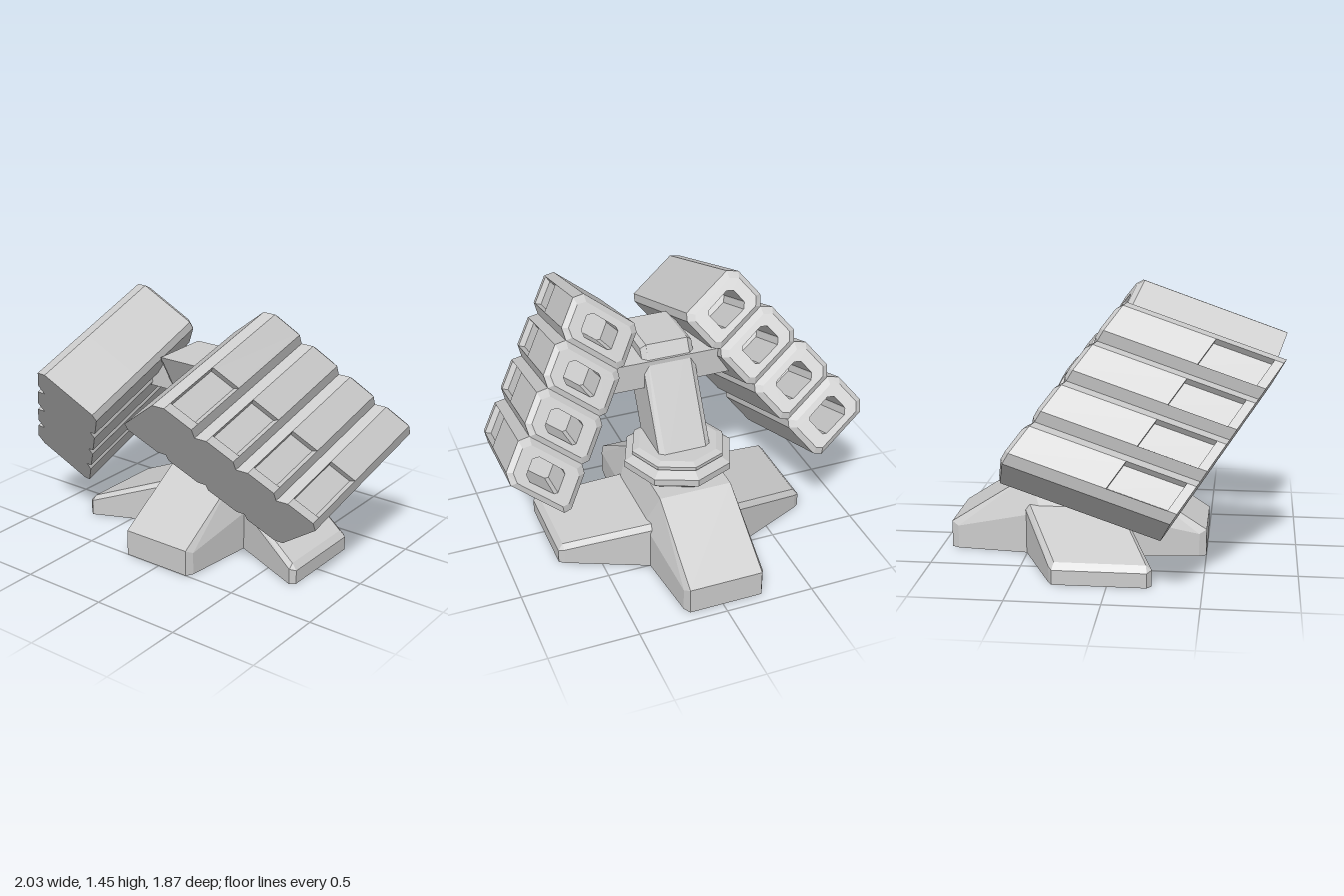
import * as THREE from 'three';
import { ConvexGeometry } from 'three/addons/geometries/ConvexGeometry.js';

const CX = -0.017, CZ = -0.22; // centre of the base
const mat = new THREE.MeshStandardMaterial({ color: 0xcccccc, flatShading: true });
const vec = (x, y, z) => new THREE.Vector3(x, y, z);

function add(parent, geometry, name) {
  const mesh = new THREE.Mesh(geometry, mat);
  mesh.name = name;
  parent.add(mesh);
  return mesh;
}

// Faceted skin over equal-sized rings of points, closed at both ends
function loft(rings, flip) {
  const pos = [];
  const tri = (a, b, c) => (flip ? [a, c, b] : [a, b, c]).forEach(p => pos.push(p.x, p.y, p.z));
  const n = rings[0].length;
  for (let r = 0; r < rings.length - 1; r++) {
    for (let i = 0; i < n; i++) {
      const j = (i + 1) % n, A = rings[r], B = rings[r + 1];
      tri(A[i], A[j], B[j]);
      tri(A[i], B[j], B[i]);
    }
  }
  const centre = ring => ring.reduce((s, p) => s.add(p), vec(0, 0, 0)).divideScalar(n);
  const first = rings[0], last = rings[rings.length - 1];
  const c0 = centre(first), c1 = centre(last);
  for (let i = 0; i < n; i++) {
    const j = (i + 1) % n;
    tri(c0, first[j], first[i]);
    tri(c1, last[i], last[j]);
  }
  const g = new THREE.BufferGeometry();
  g.setAttribute('position', new THREE.Float32BufferAttribute(pos, 3));
  g.computeVertexNormals();
  return g;
}

// Tube section (u: outer to inner side, v: down the stack); points 8 and 9 frame the outer panel
const H = 0.264;
const section = [
  [0, 0], [0.325, 0], [0.355, 0.035], [0.355, H - 0.035], [0.325, H],
  [0, H], [-0.047, H - 0.047], [-0.047, H - 0.06], [-0.047, 0.06], [-0.047, 0.047],
];
const MU = 0.154, MV = H / 2;
const inset = d => section.map(([u, v]) => [
  MU + (u - MU) * (1 - d / 0.2), MV + (v - MV) * (1 - d / 0.132)]);
const recessed = section.map(([u, v], i) => (i === 7 || i === 8 ? [u + 0.035, v] : [u, v]));
const bore = section.map(([u, v]) => {
  const t = Math.atan2((v - MV) / 0.132, (u - MU) / 0.2);
  return [MU + 0.115 * Math.cos(t), MV + 0.085 * Math.sin(t)];
});

// One bank of four stacked tubes, stepping by S along the stack
function launcher(name, origin, axis, across, step) {
  const group = new THREE.Group();
  group.name = name;
  const A = axis.clone().normalize(), U = across.clone().normalize();
  const flip = U.clone().cross(step).dot(A) < 0;
  for (let k = 0; k < 4; k++) {
    const ring = (pts, a) => pts.map(([u, v]) => origin.clone()
      .addScaledVector(U, u).addScaledVector(step, v / H + k).addScaledVector(A, a));
    add(group, loft([
      ring(bore, -0.62),
      ring(bore, -0.905),
      ring(inset(0.03), -0.905),
      ring(section, -0.88),
      ring(section, -0.37),
      ring(recessed, -0.37),
      ring(recessed, -0.05),
      ring(section, -0.05),
      ring(section, 0),
    ].map((r, i) => r), flip), 'launchTube');
  }
  return group;
}

export function createModel() {
  const model = new THREE.Group();
  model.name = 'launcherTurret';

  // Base: long spine with sloping front and back feet
  const spine = [];
  for (const s of [-1, 1]) {
    for (const e of [-1, 1]) {
      spine.push(
        vec(CX + s * 0.208, 0, CZ + e * 0.72), vec(CX + s * 0.208, 0.15, CZ + e * 0.72),
        vec(CX + s * 0.23, 0, CZ + e * 0.68), vec(CX + s * 0.23, 0.13, CZ + e * 0.68),
        vec(CX + s * 0.28, 0, CZ + e * 0.2), vec(CX + s * 0.28, 0.24, CZ + e * 0.2),
        vec(CX + s * 0.208, 0.44, CZ + e * 0.27));
    }
  }
  add(model, new ConvexGeometry(spine), 'baseSpine');

  // Side feet swept forward
  for (const s of [-1, 1]) {
    const pts = [];
    const slice = (d, z0, z1, top, edge, bevel) => pts.push(
      vec(CX + s * d, 0, z0), vec(CX + s * d, 0, z1),
      vec(CX + s * d, edge, z0), vec(CX + s * d, edge, z1),
      vec(CX + s * d, top, z0 + bevel), vec(CX + s * d, top, z1 - bevel));
    slice(0.2, -0.535, 0.015, 0.3, 0.27, 0.025);
    slice(0.71, -0.31, 0.235, 0.115, 0.09, 0.03);
    slice(0.74, -0.29, 0.21, 0.08, 0.08, 0);
    add(model, new ConvexGeometry(pts), 'sideFoot');
  }

  // Eight-sided turning ring
  const profile = [[0, 0.43], [0.22, 0.43], [0.315, 0.5], [0.315, 0.54], [0.255, 0.57],
    [0.27, 0.575], [0.27, 0.595], [0.23, 0.61], [0, 0.61]].map(p => new THREE.Vector2(...p));
  add(model, new THREE.LatheGeometry(profile, 8), 'turnRing').position.set(CX, 0, CZ);

  // Column leaning forward
  const side = new THREE.Shape([[-0.34, 0.57], [-0.05, 0.57], [0.255, 1.12], [-0.03, 1.12]]
    .map(p => new THREE.Vector2(...p)));
  const column = new THREE.ExtrudeGeometry(side, {
    depth: 0.24, bevelEnabled: true, bevelSize: 0.025, bevelThickness: 0.03, bevelSegments: 1 });
  column.translate(0, 0, -0.12).rotateY(-Math.PI / 2);
  add(model, column, 'column').position.x = CX;

  // Cross arm carrying both banks
  add(model, new THREE.BoxGeometry(0.76, 0.16, 0.27), 'crossArm').position.set(CX, 0.99, 0.035);

  // Banks of tubes, pitched down toward the front
  model.add(
    launcher('rightBank', vec(-0.406, 1.156, 0.905), vec(0.01, -0.295, 0.85),
      vec(0.27, -0.186, -0.068), vec(-0.148, -0.18, -0.14)),
    launcher('leftBank', vec(0.33, 1.167, 0.925), vec(-0.075, -0.29, 0.86),
      vec(-0.267, -0.195, -0.089), vec(0.15, -0.18, -0.14)));
  return model;
}
